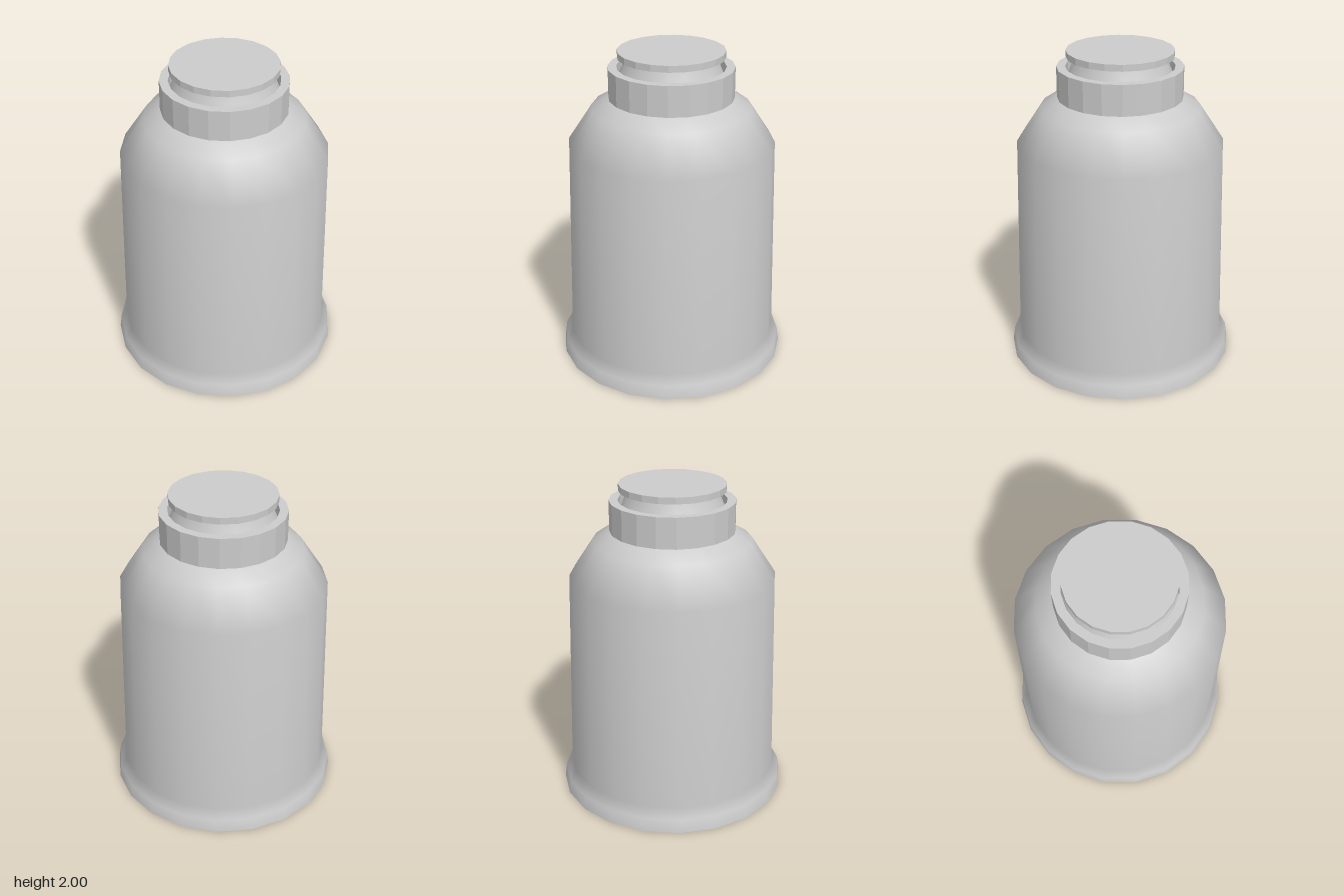
import * as THREE from 'three';

const SIDES = 20;

// Revolves [radius, height] pairs, listed so that the surface faces outward
function turned(name, profile, flatShading = false) {
  const points = profile.map(([r, y]) => new THREE.Vector2(r, y));
  const material = new THREE.MeshStandardMaterial({ color: 0xcccccc, flatShading });
  const mesh = new THREE.Mesh(new THREE.LatheGeometry(points, SIDES), material);
  mesh.name = name;
  return mesh;
}

export function createModel() {
  const model = new THREE.Group();
  model.name = 'bottle';

  // Smooth body: flared foot, slightly tapered wall, rounded shoulder
  model.add(turned('body', [
    [0.722, 0], [0.71, 0.085], [0.67, 0.145], [0.638, 1.425], [0.49, 1.65], [0.375, 1.715],
  ]));

  // Flat underside
  model.add(turned('base', [[0, 0], [0.722, 0]], true));

  // Tapered neck running up inside the collar
  model.add(turned('neck', [[0.375, 1.715], [0.297, 1.9], [0.277, 1.96]]));

  // Faceted open collar around the neck
  model.add(turned('collar', [
    [0.36, 1.71], [0.385, 1.71], [0.385, 1.9], [0.332, 1.9], [0.332, 1.8],
  ], true));

  // Thin lid disc
  model.add(turned('lid', [[0, 1.96], [0.327, 1.96], [0.327, 2], [0, 2]], true));

  return model;
}
